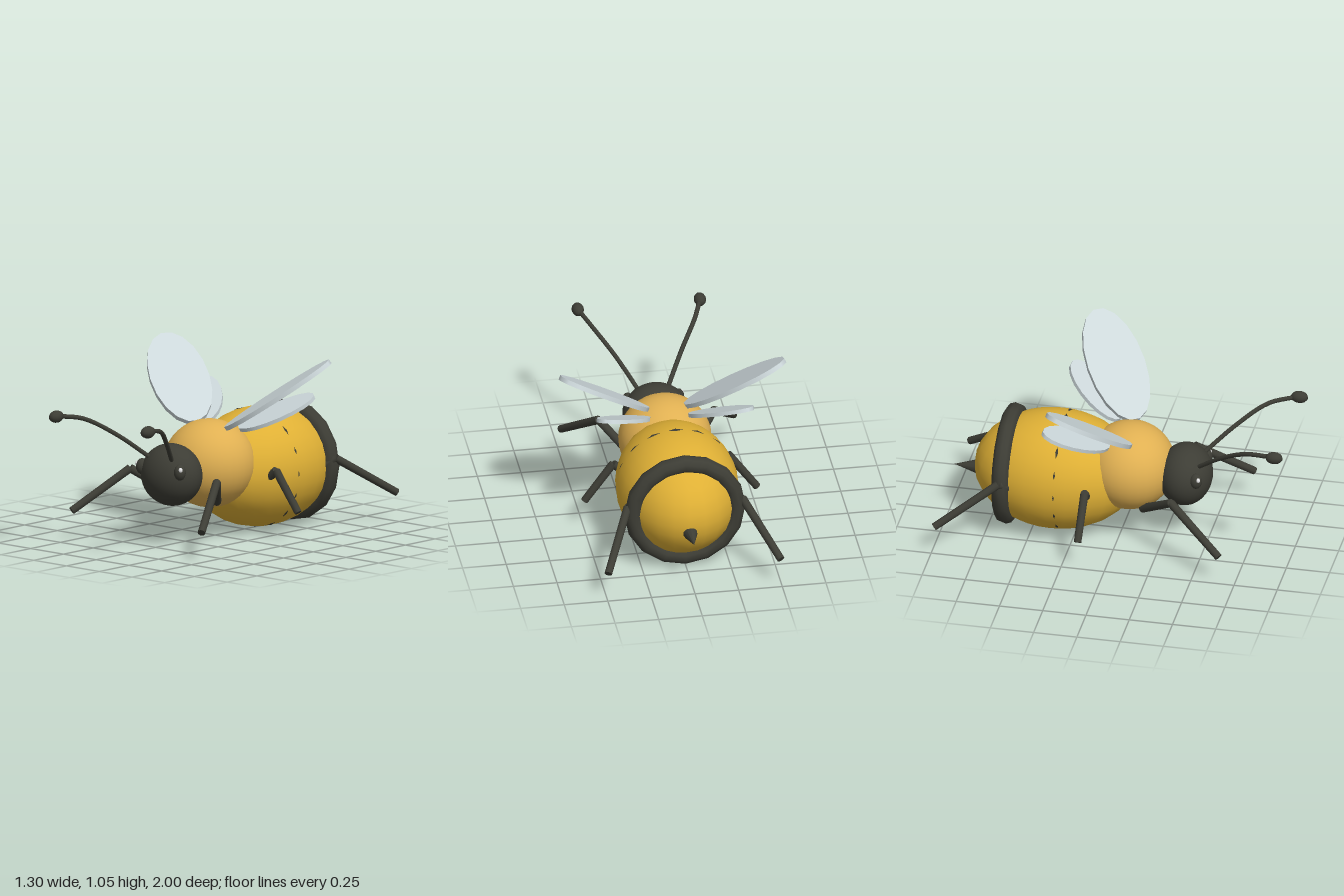
import * as THREE from 'three';

const mat = (name, color) => {
  const m = new THREE.MeshStandardMaterial({ color });
  m.name = name;
  return m;
};

export function createModel() {
  const bee = new THREE.Group();
  bee.name = 'bee';
  const yellow = mat('abdomen yellow', 0xdfb035);
  const amber = mat('thorax amber', 0xe0b052);
  const dark = mat('charcoal', 0x3d3d35);
  const pale = mat('wing grey', 0xccd7da);
  const white = mat('eye glint', 0xf4f4f4);
  const V = (x, y, z) => new THREE.Vector3(x, y, z);

  const add = (name, geo, material, pos) => {
    const mesh = new THREE.Mesh(geo, material);
    mesh.name = name;
    if (pos) mesh.position.copy(pos);
    bee.add(mesh);
    return mesh;
  };
  const ellipsoid = (name, material, pos, rx, ry, rz, w = 24, h = 16) =>
    add(name, new THREE.SphereGeometry(1, w, h).scale(rx, ry, rz), material, pos);
  const rod = (name, a, b, ra, rb) => {
    const dir = b.clone().sub(a);
    const mesh = add(name, new THREE.CylinderGeometry(rb, ra, dir.length(), 10), dark,
      a.clone().add(b).multiplyScalar(0.5));
    mesh.quaternion.setFromUnitVectors(V(0, 1, 0), dir.normalize());
    return mesh;
  };

  // Body
  ellipsoid('abdomen', yellow, V(0, 0.35, -0.38), 0.348, 0.342, 0.47);
  ellipsoid('thorax', amber, V(0, 0.425, 0.045), 0.265, 0.252, 0.258, 32, 20);
  ellipsoid('head', dark, V(0, 0.403, 0.365), 0.19, 0.178, 0.155, 32, 20);

  // Stripes around the abdomen
  add('frontStripe', new THREE.TorusGeometry(0.325, 0.02, 8, 16), dark, V(0, 0.35, -0.33));
  add('rearStripe', new THREE.TorusGeometry(0.298, 0.05, 10, 16), dark, V(0, 0.35, -0.645));

  // Stinger
  add('stinger', new THREE.ConeGeometry(0.048, 0.155, 10).rotateX(-Math.PI / 2), dark, V(0, 0.305, -0.893));

  // Flat oval wing, oriented by its length direction and its upward normal
  const wing = (name, s, centre, along, up, length, width, thick) => {
    const x = V(s * along[0], along[1], along[2]).normalize();
    const z = x.clone().cross(V(s * up[0], up[1], up[2])).normalize();
    const y = z.clone().cross(x);
    const mesh = add(name, new THREE.CylinderGeometry(1, 1, thick, 18).scale(length, 1, width), pale,
      V(s * centre[0], centre[1], centre[2]));
    mesh.quaternion.setFromRotationMatrix(new THREE.Matrix4().makeBasis(x, y, z));
  };

  for (const [side, s] of [['left', 1], ['right', -1]]) {
    // Eyes
    ellipsoid(side + 'Eye', dark, V(s * 0.145, 0.445, 0.455), 0.033, 0.046, 0.036, 14, 10);
    ellipsoid(side + 'EyeGlint', white, V(s * 0.165, 0.462, 0.472), 0.012, 0.015, 0.012, 10, 8);

    // Antennae
    const path = new THREE.CatmullRomCurve3([
      V(s * 0.08, 0.5, 0.45), V(s * 0.19, 0.645, 0.62), V(s * 0.29, 0.745, 0.78), V(s * 0.345, 0.775, 0.93),
    ]);
    add(side + 'Antenna', new THREE.TubeGeometry(path, 16, 0.013, 8), dark);
    ellipsoid(side + 'AntennaTip', dark, V(s * 0.35, 0.774, 0.95), 0.035, 0.035, 0.05, 12, 8);

    // Wings
    wing(side + 'ForeWing', s, [0.375, 0.84, -0.115], [0.7, 0.555, -0.445], [-0.43, 0.843, 0.325], 0.362, 0.172, 0.026);
    wing(side + 'HindWing', s, [0.28, 0.715, -0.21], [0.625, 0.395, -0.673], [-0.117, 0.9, 0.42], 0.235, 0.112, 0.022);

    // Legs: hip z, knee z, foot z
    for (const [pair, hz, kz, fz] of [
      ['Front', 0.15, 0.35, 0.66], ['Middle', -0.15, -0.15, -0.155], ['Rear', -0.45, -0.65, -0.985],
    ]) {
      const knee = V(s * 0.33, 0.395, kz);
      rod(side + pair + 'UpperLeg', V(s * 0.15, 0.235, hz), knee, 0.026, 0.024);
      rod(side + pair + 'LowerLeg', knee, V(s * 0.495, 0.172, fz), 0.024, 0.022);
    }
  }
  return bee;
}
